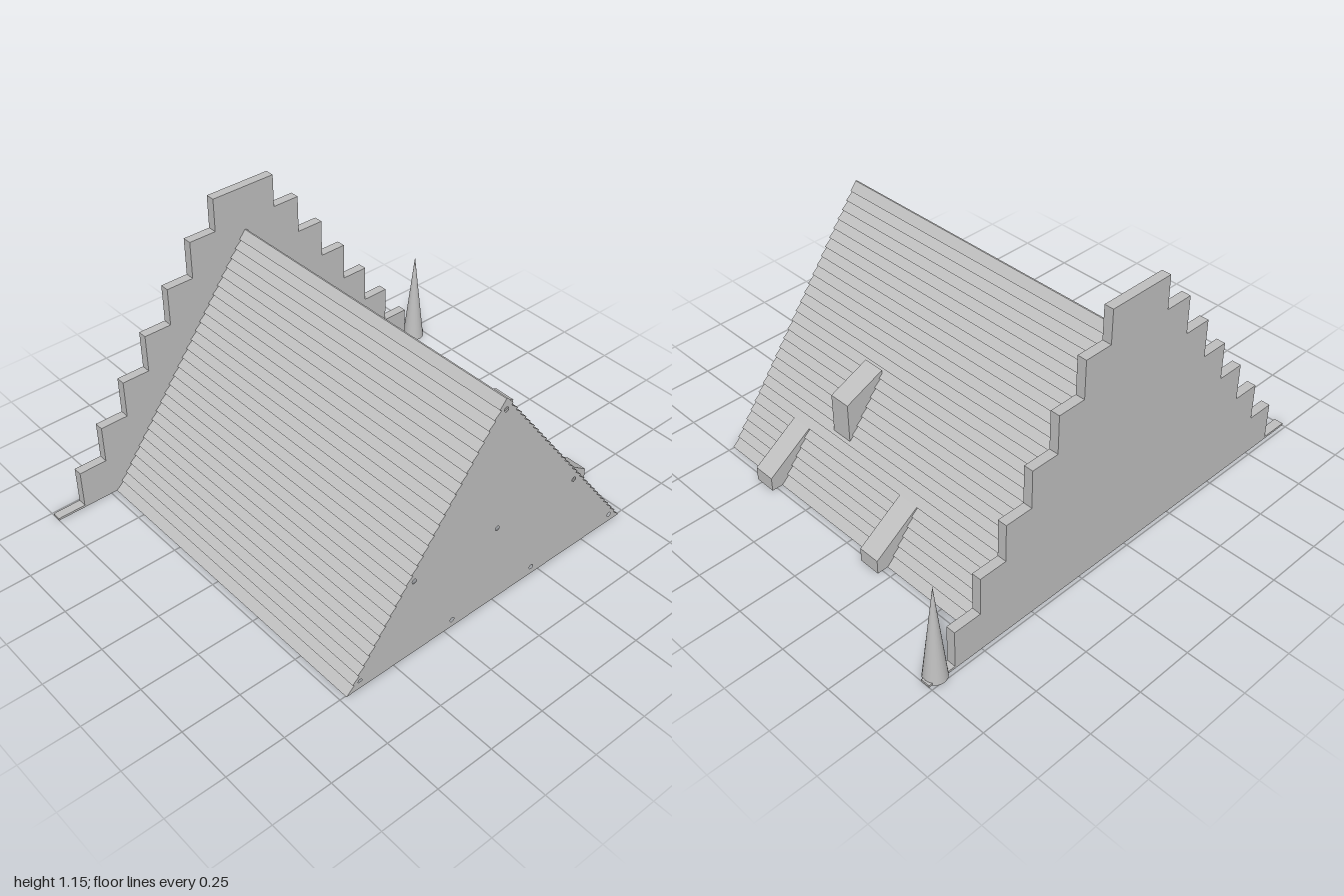
import * as THREE from 'three';

const grey = new THREE.MeshStandardMaterial({ color: 0xbfbfbf });
grey.name = 'light grey';

// Extrude a (z, y) outline along x from x0 to x1. Shape x is -z so that it maps onto +x depth.
function prism(name, points, x0, x1, holes = []) {
  const shape = new THREE.Shape(points.map(([z, y]) => new THREE.Vector2(-z, y)));
  for (const [z, y, r] of holes) {
    const hole = new THREE.Path();
    hole.absarc(-z, y, r, 0, Math.PI * 2, true);
    shape.holes.push(hole);
  }
  const geometry = new THREE.ExtrudeGeometry(shape, { depth: x1 - x0, bevelEnabled: false, curveSegments: 8 });
  geometry.rotateY(Math.PI / 2);
  geometry.translate(x0, 0, 0);
  const mesh = new THREE.Mesh(geometry, grey);
  mesh.name = name;
  return mesh;
}

// Mirror a half outline (z >= 0, listed from the ground up) across z = 0
function mirrored(half) {
  return [...half, ...half.map(([z, y]) => [-z, y]).reverse()];
}

export function createModel() {
  const group = new THREE.Group();
  group.name = 'steppedGableRoof';

  // Roof body with overlapping boards on both slopes
  const boards = 29, height = 0.955, halfWidth = 0.712, lip = 0.01;
  const length = Math.hypot(height, halfWidth);
  const outZ = (height / length) * lip, outY = (halfWidth / length) * lip;
  const half = [[halfWidth + 0.012, 0]];
  for (let i = 0; i < boards; i++) {
    const t = i / boards, next = (i + 1) / boards;
    if (i > 0) half.push([halfWidth * (1 - t) + outZ, height * t + outY]);
    if (i < boards - 1) half.push([halfWidth * (1 - next), height * next]);
  }
  half.push([0.003, 0.963]);
  const pegHoles = [
    [0, 0.915], [0.41, 0.365], [0, 0.365], [-0.41, 0.365],
    [0.66, 0.035], [0.21, 0.035], [-0.21, 0.035], [-0.66, 0.035],
  ].map(([z, y]) => [z, y, 0.01]);
  group.add(prism('roof', mirrored(half), -0.695, 0.755, pegHoles));

  // Stepped gable wall with a thin foot at each end
  const tops = [0.01, 0.178, 0.345, 0.511, 0.678, 0.845, 1.01, 1.155];
  const steps = [[1, 0]];
  tops.forEach((y, i) => {
    const z = 1 - i * 0.122;
    steps.push([z, y]);
    if (i < tops.length - 1) steps.push([z - 0.122, y]);
  });
  group.add(prism('gableWall', mirrored(steps), -0.735, -0.695));

  // Dormers on the back slope
  const lowDormer = [[-0.55, 0], [-0.55, 0.215], [-0.575, 0.198], [-0.772, 0.062], [-0.772, 0]];
  const highDormer = [[-0.36, 0.24], [-0.36, 0.497], [-0.537, 0.42], [-0.537, 0.24]];
  group.add(prism('lowerDormer', lowDormer, -0.205, -0.11));
  group.add(prism('lowerDormer', lowDormer, 0.43, 0.525));
  group.add(prism('upperDormer', highDormer, 0.215, 0.31));

  // Cone standing beside the gable
  const cone = new THREE.Mesh(new THREE.ConeGeometry(0.047, 0.43, 24), grey);
  cone.name = 'cone';
  cone.position.set(-0.708, 0.215, -0.947);
  group.add(cone);

  return group;
}
